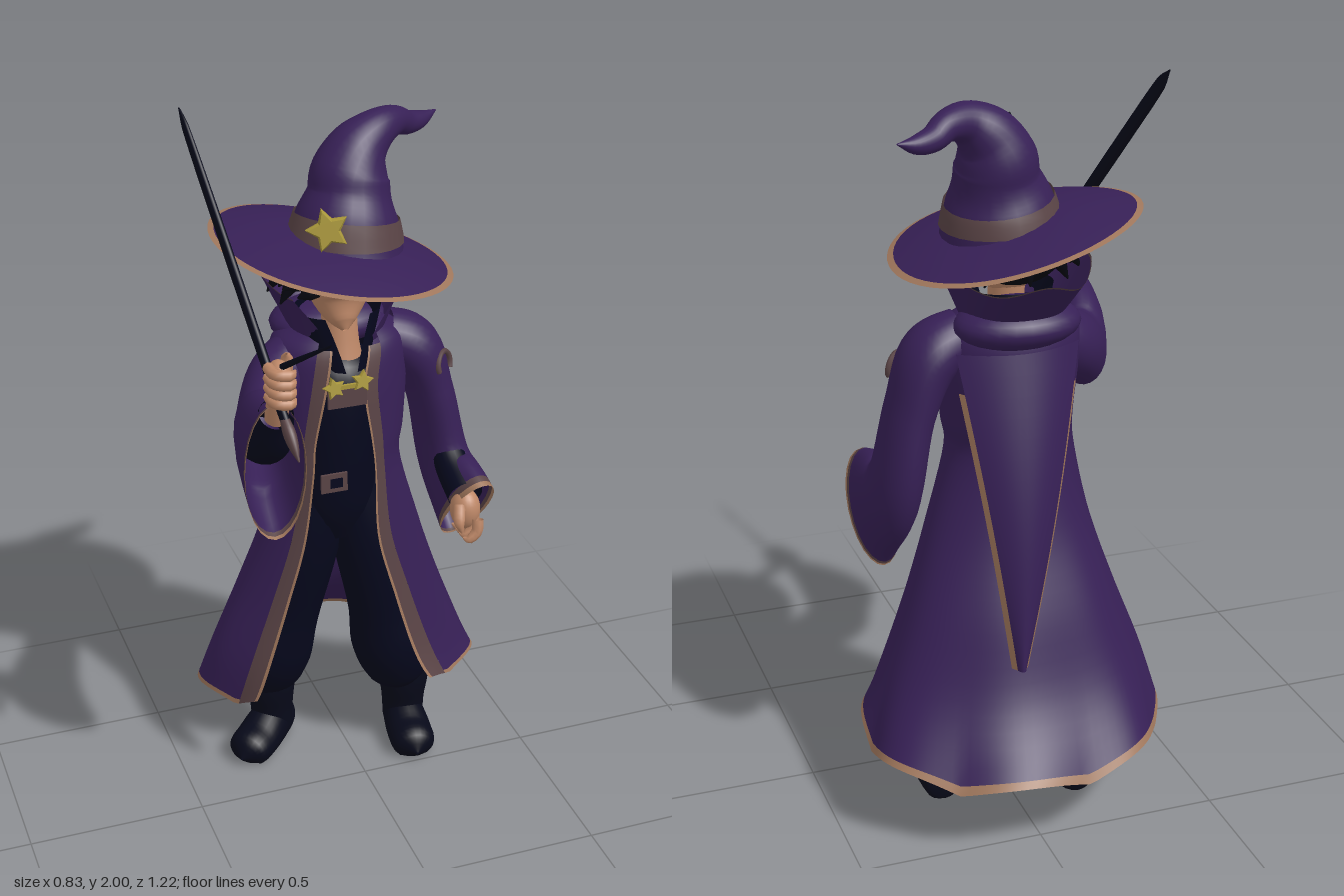
import * as THREE from 'three';
import { mergeVertices } from 'three/addons/utils/BufferGeometryUtils.js';

const V = (x, y, z) => new THREE.Vector3(x, y, z);
const paint = (name, color) => {
  const m = new THREE.MeshStandardMaterial({ color, side: THREE.DoubleSide });
  m.name = name;
  return m;
};

export function createModel() {
  const model = new THREE.Group();
  model.name = 'wizard';
  const purple = paint('purple cloth', 0x372056);
  const navy = paint('dark navy cloth', 0x05071c);
  const leather = paint('boot leather', 0x070919);
  const hairMat = paint('black hair', 0x05060f);
  const skin = paint('skin', 0xbe8868);
  const tan = paint('tan edging', 0xa0775c);
  const brown = paint('brown trim', 0x5a4446);
  const gold = paint('gold', 0xa8963a);

  const add = (name, geo, mat, parent = model) => {
    const m = new THREE.Mesh(geo, mat);
    m.name = name;
    parent.add(m);
    return m;
  };
  // Smooth sheet from a function of (u, v)
  const patch = (name, mat, fn, [u0, u1], [v0, v1], nu, nv, parent) => {
    const pos = [], idx = [];
    for (let j = 0; j <= nv; j++) for (let i = 0; i <= nu; i++)
      pos.push(...fn(u0 + (u1 - u0) * i / nu, v0 + (v1 - v0) * j / nv).toArray());
    for (let j = 0; j < nv; j++) for (let i = 0; i < nu; i++) {
      const a = j * (nu + 1) + i, b = a + nu + 1;
      idx.push(a, a + 1, b, a + 1, b + 1, b);
    }
    let g = new THREE.BufferGeometry();
    g.setAttribute('position', new THREE.Float32BufferAttribute(pos, 3));
    g.setIndex(idx);
    g = mergeVertices(g, 1e-5);
    g.computeVertexNormals();
    return add(name, g, mat, parent);
  };
  // Smoothly interpolated table of rows, v in 0..1
  const table = rows => {
    const c = new THREE.CubicInterpolant(rows.map((_, i) => i), rows.flat(), rows[0].length);
    return v => Array.from(c.evaluate(v * (rows.length - 1)));
  };
  // Tube through [x, y, z, radiusA, radiusB]; radiusB lies along ref
  const tube = (name, mat, rows, ref, o = {}) => {
    const { v0 = 0, v1 = 1, pad = 0, nu = 24, nv = 24, floor = -9, parent } = o;
    const curve = new THREE.CatmullRomCurve3(rows.map(r => V(r[0], r[1], r[2])));
    const radii = table(rows.map(r => [r[3], r[4] ?? r[3]]));
    return patch(name, mat, (u, v) => {
      const t = curve.getTangent(v), a = ref.clone().cross(t).normalize(), b = t.clone().cross(a);
      const [ra, rb] = radii(v), w = u * Math.PI * 2;
      const p = curve.getPoint(v).addScaledVector(a, Math.cos(w) * (Math.max(ra, 0) + pad))
        .addScaledVector(b, Math.sin(w) * (Math.max(rb, 0) + pad));
      p.y = Math.max(p.y, floor);
      return p;
    }, [0, 1], [v0, v1], nu, nv, parent);
  };
  const blob = (name, mat, x, y, z, sx, sy, sz) => {
    const m = add(name, new THREE.SphereGeometry(1, 24, 16), mat);
    m.position.set(x, y, z);
    m.scale.set(sx, sy, sz);
    return m;
  };
  const star = (name, x, y, z, r, ry, rz) => {
    const s = new THREE.Shape();
    for (let i = 0; i < 10; i++) {
      const a = i * Math.PI / 5, q = i % 2 ? r * 0.5 : r;
      s[i ? 'lineTo' : 'moveTo'](Math.sin(a) * q, Math.cos(a) * q);
    }
    const m = add(name, new THREE.ExtrudeGeometry(s, {
      depth: r * 0.25, bevelEnabled: true, bevelSize: r * 0.1, bevelThickness: r * 0.2, bevelSegments: 1 }), gold);
    m.position.set(x, y, z);
    m.rotation.set(-0.2, ry, rz);
  };
  const X = V(1, 0, 0), Z = V(0, 0, 1);

  // Hat: tilted drooping brim, bent crown, band and star
  const brim = (u, r) => {
    const w = u * Math.PI * 2, k = 1 + 0.012 * Math.sin(w * 3 + 1);
    const dx = Math.sin(w) * r * 0.32 * k, dz = Math.cos(w) * r * 0.325 * k;
    return V(dx - 0.033, 1.65 - 0.215 * dx - 0.03 * dz - 0.055 * r * r + 0.008 * Math.sin(w * 2) * r, dz - 0.165);
  };
  patch('hatBrim', purple, brim, [0, 1], [0.3, 0.965], 56, 8);
  patch('hatBrimEdge', tan, brim, [0, 1], [0.965, 1.015], 56, 2);
  const crown = [[0, 1.61, -0.165, 0.158], [0.008, 1.69, -0.17, 0.137], [0.018, 1.75, -0.18, 0.112],
    [0.025, 1.80, -0.19, 0.105], [0.055, 1.86, -0.2, 0.081], [0.11, 1.90, -0.215, 0.055],
    [0.17, 1.905, -0.25, 0.04], [0.215, 1.885, -0.28, 0.033], [0.265, 1.88, -0.305, 0.024], [0.32, 1.892, -0.33, 0.002]];
  tube('hatCrown', purple, crown, Z, { nv: 40 });
  tube('hatBand', brown, crown, Z, { v0: 0.03, v1: 0.115, pad: 0.006, nv: 4 });
  star('hatStar', -0.088, 1.708, -0.04, 0.052, -0.3, 0.25);

  // Head and hair
  tube('head', skin, [[-0.035, 1.41, -0.06, 0.008], [-0.035, 1.43, -0.075, 0.035], [-0.032, 1.48, -0.11, 0.075],
    [-0.03, 1.55, -0.125, 0.088], [-0.03, 1.62, -0.14, 0.07]], Z);
  tube('neck', skin, [[-0.03, 1.28, -0.11, 0.065], [-0.03, 1.36, -0.115, 0.05], [-0.03, 1.46, -0.13, 0.048]], Z);
  blob('hair', hairMat, -0.03, 1.56, -0.19, 0.13, 0.095, 0.11);
  for (let i = 0; i < 15; i++) {
    const w = 0.85 + i * 0.327, long = 0.1 + 0.03 * (i % 2);
    const c = Math.sin(w), d = Math.cos(w);
    tube('hairSpike', hairMat, [[-0.03 + c * 0.09, 1.59, -0.16 + d * 0.09, 0.035], [-0.03 + c * 0.13, 1.56, -0.16 + d * 0.12, 0.03],
      [-0.03 + c * (0.08 + long * 0.8), 1.62 - long, -0.16 + d * 0.145, 0.002]], V(-d, 0, c), { nu: 8, nv: 6 });
  }
  for (const [x, y, z] of [[-0.21, 1.58, -0.1], [-0.205, 1.545, -0.07], [-0.17, 1.525, -0.05]])
    tube('sideLock', hairMat, [[-0.09, 1.58, -0.08, 0.03], [(x - 0.09) / 2, y + 0.015, z, 0.026], [x, y, z, 0.002]], Z, { nu: 8, nv: 6 });

  // Shirt, shirt collar, chest placket and belt buckle
  tube('shirt', navy, [[-0.045, 0.78, -0.14, 0.075, 0.09], [-0.045, 0.88, -0.13, 0.105, 0.115], [-0.045, 1.0, -0.125, 0.115, 0.12],
    [-0.04, 1.2, -0.14, 0.13, 0.14], [-0.035, 1.28, -0.15, 0.12, 0.12], [-0.03, 1.33, -0.16, 0.07, 0.07]], X);
  patch('shirtCollar', navy, (u, v) => {
    const w = 0.2 + 0.35 * v + u * (Math.PI * 2 - 0.4 - 0.7 * v);
    return V(-0.03 + Math.sin(w) * (0.08 + 0.04 * v), 1.3 + 0.15 * v, -0.14 + Math.cos(w) * (0.12 - 0.02 * v));
  }, [0, 1], [0, 1], 28, 3);
  add('chestPlacket', new THREE.BoxGeometry(0.11, 0.065, 0.008), brown).position.set(-0.05, 1.245, -0.004);
  add('beltBuckle', new THREE.BoxGeometry(0.075, 0.055, 0.008), brown).position.set(-0.09, 0.99, 0.0);
  add('beltBuckleCentre', new THREE.BoxGeometry(0.035, 0.028, 0.008), navy).position.set(-0.085, 0.99, 0.002);

  // Long coat, open at the front: [y, cx, cz, rx, rz, right edge x, left edge x]
  const coatRow = table([[1.40, -0.02, -0.17, 0.12, 0.10, -0.07, 0.03], [1.35, -0.02, -0.17, 0.185, 0.14, -0.08, 0.02],
    [1.25, -0.02, -0.165, 0.19, 0.155, -0.10, 0.0], [1.1, -0.025, -0.145, 0.18, 0.145, -0.13, 0.02],
    [1.0, -0.035, -0.135, 0.177, 0.142, -0.14, 0.03], [0.8, -0.025, -0.155, 0.225, 0.167, -0.165, 0.035],
    [0.6, -0.02, -0.19, 0.29, 0.212, -0.215, 0.085], [0.4, -0.015, -0.222, 0.365, 0.258, -0.27, 0.14],
    [0.24, 0, -0.268, 0.415, 0.335, -0.31, 0.19]]);
  const coat = (u, v) => {
    const [y, cx, cz, rx, rz, xr, xl] = coatRow(v);
    const a = Math.asin((xl - cx) / rx), b = Math.PI * 2 + Math.asin((xr - cx) / rx), w = a + (b - a) * u;
    const low = Math.max(0, v - 0.5) * 2, k = 1 + 0.02 * low * Math.sin(w * 7);
    const jag = 0.035 * Math.abs(Math.sin(w * 3.5 + 0.6)) - 0.02 + 0.04 * Math.max(0, Math.cos(w)) * Math.abs(Math.sin(2 * w));
    const hem = low ** 4 * 0.035 * Math.cos(w) + low ** 8 * jag;
    return V(cx + Math.sin(w) * rx * k, y + hem, cz + Math.cos(w) * rz * k);
  };
  patch('coat', purple, coat, [0.04, 0.96], [0, 0.987], 72, 40);
  patch('coatHem', tan, coat, [0.04, 0.96], [0.987, 1], 72, 2);
  for (const [a, b, c, d] of [[0, 0.006, 0.006, 0.04], [1, 0.994, 0.994, 0.96]]) {
    patch('coatFrontEdge', tan, coat, [Math.min(a, b), Math.max(a, b)], [0.1, 1], 1, 40);
    patch('coatFrontTrim', brown, coat, [Math.min(c, d), Math.max(c, d)], [0.1, 1], 3, 40);
  }
  star('rightClasp', -0.09, 1.275, 0.0, 0.028, 0, 0.2);
  star('leftClasp', -0.01, 1.285, 0.0, 0.028, 0, -0.2);
  add('claspBar', new THREE.BoxGeometry(0.08, 0.012, 0.008), gold).position.set(-0.05, 1.275, 0.002);

  // Flared standing collar, peaked at the back, and the hood folded behind it
  const collar = (u, v) => {
    const a = 0.45 + 0.42 * v, w = a + u * (Math.PI * 2 - 2 * a), back = Math.max(0, -Math.cos(w));
    return V(-0.02 + Math.sin(w) * (0.12 + 0.08 * v) * (1 - 0.25 * v * back),
      1.36 + 0.175 * v - 0.03 * v * Math.sin(2 * w) ** 2, -0.17 - 0.06 * v + Math.cos(w) * (0.115 + 0.105 * v));
  };
  patch('collar', purple, collar, [0, 1], [0, 0.97], 40, 8);
  patch('collarEdge', brown, collar, [0, 1], [0.97, 1], 40, 1);
  blob('hood', purple, -0.02, 1.375, -0.235, 0.17, 0.065, 0.12);

  // Pointed tail hanging down the back, with edging turned towards the coat
  const tail = (u, v) => V(-0.01 + 0.05 * v + u * (0.155 * (1 - v) + 0.012),
    1.32 - 0.83 * v, -0.325 - 0.145 * v - 0.03 * Math.sin(v * Math.PI) + (0.055 - 0.04 * v) * u * u);
  patch('backTail', purple, tail, [-1, 1], [0, 1], 14, 16);
  for (const s of [-1, 1])
    patch('backTailEdge', tan, (u, v) => tail(s, v).add(V(s * u * 0.011, 0, u * 0.016)), [0, 1], [0.12, 1], 1, 16);

  // Wide sleeves with trim
  const sleeves = {
    left: [[0.1, 1.335, -0.17, 0.075, 0.075], [0.19, 1.29, -0.17, 0.098, 0.08], [0.25, 1.15, -0.175, 0.1, 0.065],
      [0.295, 0.92, -0.155, 0.115, 0.068], [0.315, 0.815, -0.025, 0.165, 0.07]],
    right: [[-0.1, 1.33, -0.18, 0.07, 0.075], [-0.2, 1.27, -0.14, 0.09, 0.08], [-0.285, 1.2, -0.02, 0.105, 0.07],
      [-0.32, 1.205, 0.11, 0.145, 0.075], [-0.335, 1.195, 0.263, 0.2, 0.08]],
  };
  for (const [side, rows] of Object.entries(sleeves)) {
    tube(side + 'Sleeve', purple, rows, X, { v1: 0.965, nv: 28 });
    tube(side + 'SleeveBand', brown, rows, X, { v0: 0.965, v1: 0.985, nv: 2 });
    tube(side + 'SleeveEdge', tan, rows, X, { v0: 0.985, nv: 2 });
  }
  tube('leftForearm', navy, [[0.285, 0.98, -0.13, 0.045], [0.288, 0.93, -0.06, 0.05], [0.287, 0.895, 0.025, 0.05]], X);
  tube('rightForearm', navy, [[-0.315, 1.19, 0.06, 0.06], [-0.325, 1.25, 0.17, 0.062], [-0.325, 1.355, 0.245, 0.045]], X);
  tube('rightWrist', skin, [[-0.325, 1.34, 0.24, 0.03], [-0.325, 1.4, 0.262, 0.03], [-0.325, 1.45, 0.275, 0.032]], X, { nu: 12, nv: 6 });
  const badge = add('sleeveBadge', new THREE.TorusGeometry(0.036, 0.008, 6, 20, Math.PI * 1.3), brown);
  badge.position.set(0.266, 1.245, -0.1);
  badge.rotation.set(-0.15, 0.75, -0.6, 'YXZ');

  // Hands
  blob('leftHand', skin, 0.285, 0.855, 0.03, 0.042, 0.06, 0.045);
  blob('rightHand', skin, -0.325, 1.455, 0.275, 0.036, 0.06, 0.05);
  for (let i = 0; i < 4; i++) {
    const z = 0.075 - i * 0.028;
    tube('leftFinger', skin, [[0.305, 0.84, z, 0.017], [0.3, 0.805, z + 0.008, 0.016], [0.275, 0.785, z + 0.008, 0.012], [0.262, 0.79, z, 0.002]],
      Z, { nu: 8, nv: 8 });
    const y = 1.425 + i * 0.026;
    tube('rightFinger', skin, [[-0.355, y, 0.28, 0.015], [-0.35, y, 0.325, 0.015], [-0.315, y - 0.004, 0.335, 0.014], [-0.295, y, 0.315, 0.002]],
      V(0, 1, 0), { nu: 8, nv: 8 });
  }
  tube('leftThumb', skin, [[0.26, 0.88, 0.05, 0.018], [0.25, 0.84, 0.075, 0.016], [0.255, 0.81, 0.085, 0.003]], X, { nu: 8, nv: 8 });
  tube('rightThumb', skin, [[-0.3, 1.46, 0.25, 0.018], [-0.3, 1.51, 0.26, 0.016], [-0.305, 1.53, 0.275, 0.003]], X, { nu: 8, nv: 8 });

  // Long flat blade with a wooden grip end, and a thin wand
  const top = V(-0.41, 2.0, -0.26), low = V(-0.32, 1.31, 0.39);
  const along = (a, b, list) => list.map(([t, ra, rb]) => [...a.clone().lerp(b, t).toArray(), ra, rb]);
  tube('blade', leather, along(top, low, [[0, 0.002, 0.002], [0.06, 0.02, 0.008], [0.3, 0.022, 0.011], [0.6, 0.021, 0.012], [0.92, 0.016, 0.012]]),
    X, { nu: 12 });
  tube('bladeGripEnd', brown, along(top, low, [[0.9, 0.015, 0.012], [0.94, 0.022, 0.016], [0.98, 0.016, 0.012], [1.02, 0.002, 0.002]]), X, { nu: 12, nv: 10 });
  tube('thinWand', leather, along(V(-0.325, 1.48, 0.25), V(-0.305, 1.697, 0.612), [[0, 0.009, 0.009], [0.5, 0.007, 0.007], [1, 0.003, 0.003]]), X, { nu: 8, nv: 6 });

  // Baggy trousers
  tube('leftTrouser', navy, [[0.005, 0.95, -0.135, 0.085], [0.045, 0.75, -0.13, 0.098], [0.1, 0.5, -0.135, 0.1],
    [0.13, 0.36, -0.145, 0.115], [0.16, 0.25, -0.16, 0.095], [0.175, 0.2, -0.165, 0.055]], Z);
  tube('rightTrouser', navy, [[-0.09, 0.95, -0.135, 0.085], [-0.125, 0.75, -0.15, 0.098], [-0.175, 0.5, -0.195, 0.1],
    [-0.205, 0.36, -0.225, 0.115], [-0.21, 0.25, -0.26, 0.095], [-0.205, 0.2, -0.27, 0.055]], Z);

  // Boots
  for (const [side, x, z, yaw] of [['left', 0.185, -0.175, -0.12], ['right', -0.205, -0.27, -0.8]]) {
    const boot = new THREE.Group();
    boot.name = side + 'Boot';
    boot.position.set(x, 0, z);
    boot.rotation.y = yaw;
    tube('bootShaft', leather, [[0, 0.25, 0, 0.076], [0, 0.19, 0, 0.073], [0, 0.12, -0.005, 0.064], [0, 0.05, -0.005, 0.06]], Z, { parent: boot });
    tube('bootFoot', leather, [[0, 0.05, -0.08, 0.01, 0.01], [0, 0.05, -0.07, 0.06, 0.045], [0, 0.055, 0, 0.075, 0.06],
      [0, 0.042, 0.09, 0.06, 0.066], [0, 0.038, 0.15, 0.052, 0.058], [0, 0.03, 0.185, 0.004, 0.004]], X, { floor: 0, parent: boot });
    model.add(boot);
  }
  return model;
}
